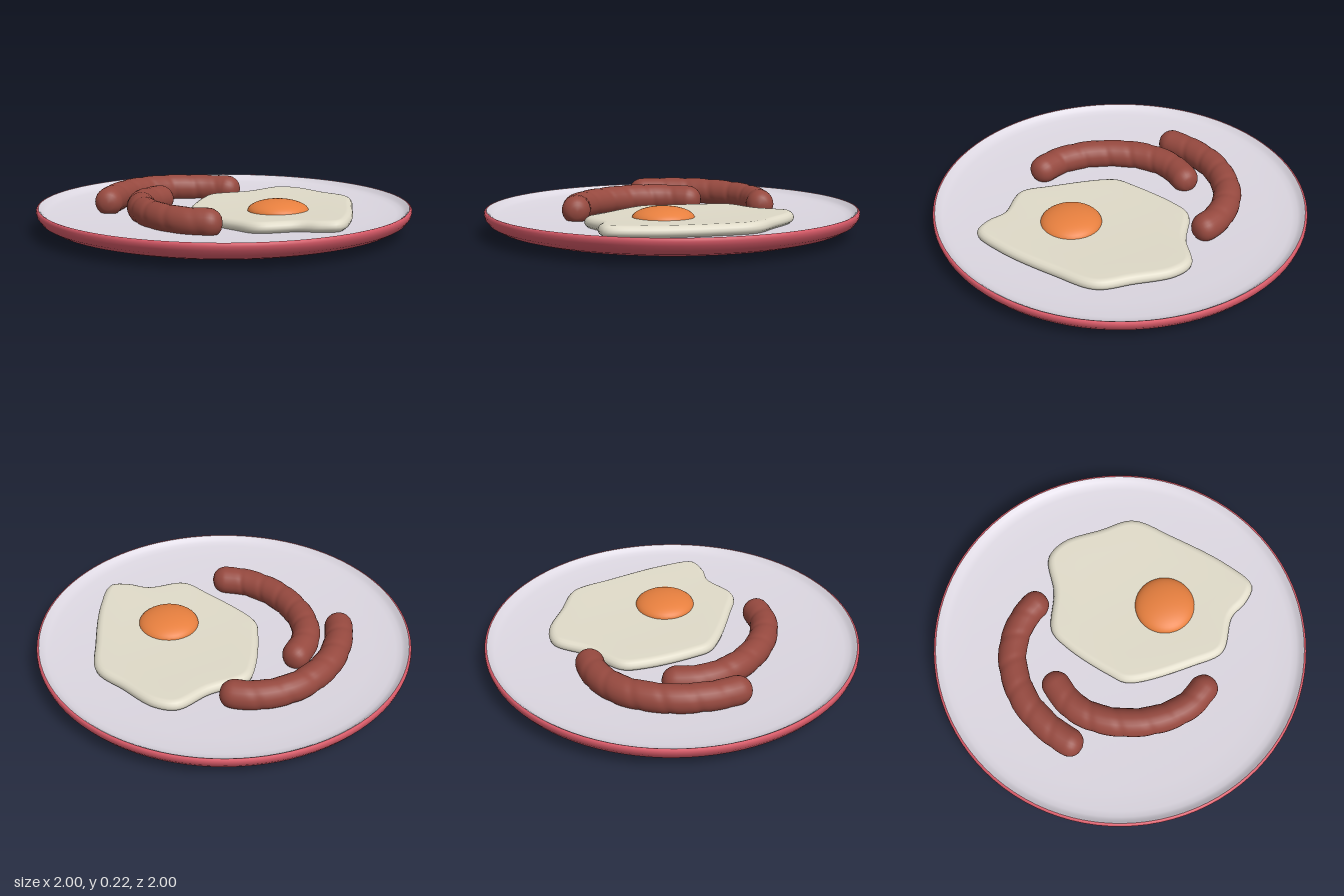
import * as THREE from 'three';
import { mergeVertices } from 'three/addons/utils/BufferGeometryUtils.js';

const flat = (name, color) => {
  const m = new THREE.MeshStandardMaterial({ color });
  m.name = name;
  return m;
};

// Smooth normals across seams by welding coincident vertices
function weld(geometry) {
  geometry.deleteAttribute('uv');
  geometry.deleteAttribute('normal');
  const g = mergeVertices(geometry, 1e-5);
  g.computeVertexNormals();
  return g;
}

const lathe = (pts) => new THREE.LatheGeometry(pts.map(([x, y]) => new THREE.Vector2(x, y)), 96);

// Curved tube with round ends and shallow twisted wrinkles
function sausageGeometry(points, radius) {
  const path = new THREE.CatmullRomCurve3(points.map((p) => new THREE.Vector3(...p)));
  const rings = 120, sides = 24;
  const g = new THREE.TubeGeometry(path, rings, radius, sides, false);
  const length = path.getLength();
  const pos = g.attributes.position;
  const v = new THREE.Vector3();
  for (let i = 0; i < pos.count; i++) {
    const ring = Math.floor(i / (sides + 1));
    const angle = ((i % (sides + 1)) / sides) * Math.PI * 2;
    const u = ring / rings;
    const end = Math.min(u, 1 - u) * length;
    const cap = end < radius ? Math.sqrt(1 - (1 - end / radius) ** 2) : 1;
    const wrinkle = 1 - 0.045 * Math.pow(0.5 + 0.5 * Math.sin(u * 46 + angle), 4) * Math.min(1, end / 0.2);
    const c = path.getPointAt(u);
    v.fromBufferAttribute(pos, i).sub(c).multiplyScalar(cap * wrinkle).add(c);
    pos.setXYZ(i, v.x, v.y, v.z);
  }
  return weld(g);
}

// Soft-edged slab lofted from inset copies of a closed outline; it bends with the dish
function eggWhiteGeometry(outline) {
  const curve = new THREE.CatmullRomCurve3(outline.map(([x, z]) => new THREE.Vector3(x, 0, z)), true, 'centripetal');
  const n = 128, centre = new THREE.Vector3(0.24, 0, 0.12);
  // [inset, height below the top, scale about the centre]
  const rings = [
    [0.02, -0.06, 1], [0.004, -0.048, 1], [0, -0.034, 1], [0.004, -0.02, 1], [0.013, -0.009, 1],
    [0.026, -0.002, 1], [0.04, 0, 1], [0.04, 0, 0.75], [0.04, 0, 0.5], [0.04, 0, 0.25], [0.04, 0, 0],
  ];
  const verts = [], index = [];
  rings.forEach(([inset, drop, scale], k) => {
    for (let i = 0; i < n; i++) {
      const p = curve.getPointAt(i / n), t = curve.getTangentAt(i / n);
      p.x -= t.z * inset;
      p.z += t.x * inset;
      p.sub(centre).multiplyScalar(scale).add(centre);
      verts.push(p.x, 0.125 + 0.042 * (p.x * p.x + p.z * p.z) + drop, p.z);
      if (k === rings.length - 1) continue;
      const a = k * n + i, b = k * n + ((i + 1) % n);
      index.push(a, a + n, b, b, a + n, b + n);
    }
  });
  const g = new THREE.BufferGeometry();
  g.setAttribute('position', new THREE.Float32BufferAttribute(verts, 3));
  g.setIndex(index);
  return weld(g);
}

export function createModel() {
  const model = new THREE.Group();
  model.name = 'breakfastPlate';
  const add = (name, geometry, material) => {
    const mesh = new THREE.Mesh(geometry, material);
    mesh.name = name;
    model.add(mesh);
    return mesh;
  };
  const red = flat('plate red', 0xd85a68);
  const glaze = flat('plate white', 0xdcd7e1);
  const meat = flat('sausage brown', 0x96493f);
  const white = flat('egg white', 0xdfdac8);
  const orange = flat('yolk orange', 0xe8803f);

  // Plate: red underside and rim, pale shallow dish inside
  add('plateUnderside', lathe([
    [0, 0], [0.4, 0.001], [0.62, 0.005], [0.76, 0.014], [0.86, 0.028], [0.93, 0.048],
    [0.975, 0.073], [0.995, 0.1], [1, 0.12], [0.998, 0.132], [0.993, 0.137], [0.987, 0.137],
  ]), red);
  add('plateDish', lathe([
    [0.987, 0.137], [0.978, 0.131], [0.967, 0.12], [0.95, 0.111], [0.92, 0.104],
    [0.8, 0.092], [0.5, 0.077], [0.25, 0.071], [0, 0.07],
  ]), glaze);

  // Sausages
  add('backSausage', sausageGeometry([
    [-0.59, 0.142, -0.2], [-0.555, 0.142, -0.275], [-0.46, 0.144, -0.4], [-0.31, 0.144, -0.515],
    [-0.09, 0.138, -0.575], [0.09, 0.132, -0.54], [0.2, 0.13, -0.47], [0.26, 0.13, -0.4],
  ], 0.076), meat);
  add('frontSausage', sausageGeometry([
    [-0.175, 0.12, -0.375], [-0.25, 0.122, -0.335], [-0.36, 0.127, -0.25], [-0.43, 0.13, -0.12],
    [-0.455, 0.13, 0.05], [-0.43, 0.13, 0.22], [-0.36, 0.13, 0.36], [-0.27, 0.132, 0.44], [-0.21, 0.132, 0.48],
  ], 0.076), meat);

  // Fried egg
  add('eggWhite', eggWhiteGeometry([
    [0.075, -0.37], [0.3, -0.36], [0.5, -0.39], [0.595, -0.31], [0.665, -0.105], [0.72, 0.08],
    [0.62, 0.3], [0.45, 0.59], [0.32, 0.725], [0.22, 0.685], [0.14, 0.61], [-0.06, 0.55],
    [-0.13, 0.4], [-0.225, 0.04], [-0.18, -0.06], [-0.02, -0.29],
  ]), white);
  const yolk = add('yolk', new THREE.SphereGeometry(1, 40, 24), orange);
  yolk.scale.set(0.162, 0.06, 0.162);
  yolk.position.set(0.205, 0.125, 0.245);

  return model;
}
